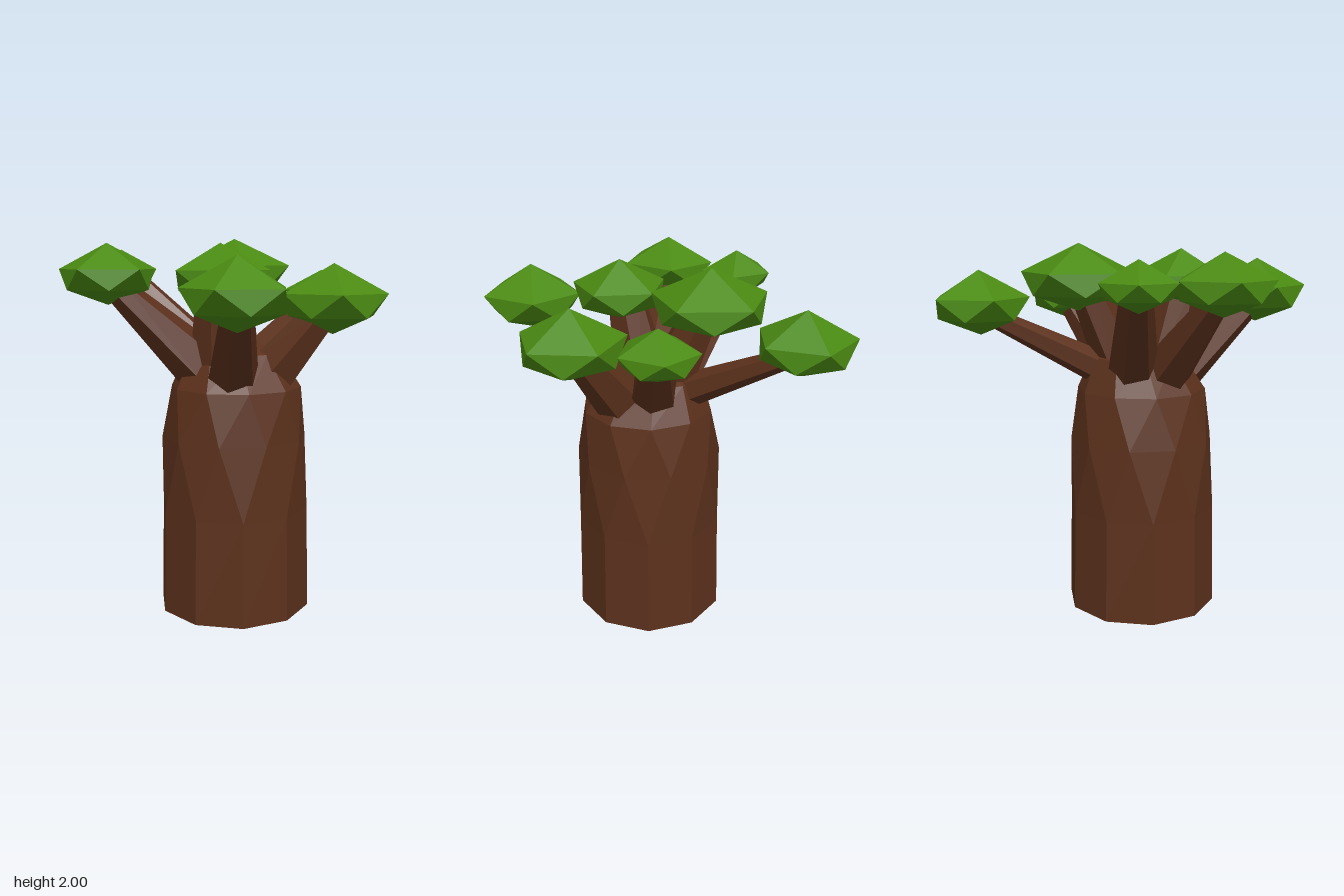
import * as THREE from 'three';

const bark = new THREE.MeshStandardMaterial({ color: 0x5c311c, flatShading: true });
const leaf = new THREE.MeshStandardMaterial({ color: 0x4a8a12, flatShading: true });

// Skins rings [y, radius, degrees, x, z] from the bottom up; radius 0 is a tip
function loft(rings, sides) {
  const points = rings.map(([y, r, deg, x = 0, z = 0]) =>
    Array.from({ length: sides }, (_, i) => {
      const a = THREE.MathUtils.degToRad(deg + (i * 360) / sides);
      return [x + r * Math.cos(a), y, z + r * Math.sin(a)];
    }));
  const pos = [];
  for (let j = 0; j < rings.length - 1; j++) {
    const low = points[j], up = points[j + 1];
    for (let i = 0; i < sides; i++) {
      const n = (i + 1) % sides;
      if (rings[j][1] > 0) pos.push(...low[i], ...up[i], ...low[n]);
      if (rings[j + 1][1] > 0) pos.push(...low[n], ...up[i], ...up[n]);
    }
  }
  const geo = new THREE.BufferGeometry();
  geo.setAttribute('position', new THREE.Float32BufferAttribute(pos, 3));
  geo.computeVertexNormals();
  return geo;
}

// Tapered limb between two points
function limb(from, to, r0, r1) {
  const a = new THREE.Vector3(...from), b = new THREE.Vector3(...to);
  const dir = b.clone().sub(a);
  const mesh = new THREE.Mesh(new THREE.CylinderGeometry(r1, r0, dir.length(), 6), bark);
  mesh.position.copy(a).add(b).multiplyScalar(0.5);
  mesh.quaternion.setFromUnitVectors(new THREE.Vector3(0, 1, 0), dir.normalize());
  return mesh;
}

// Flattened 20-sided clump of leaves, widest above its middle
function clump(x, z, r, deg, bottom, top) {
  const h = top - bottom;
  const geo = loft([
    [0, 0, deg - 36],
    [0.25 * h, 0.84 * r, deg - 36],
    [0.58 * h, r, deg],
    [h, 0, deg],
  ], 5);
  const mesh = new THREE.Mesh(geo, leaf);
  mesh.position.set(x, bottom, z);
  return mesh;
}

export function createModel() {
  const tree = new THREE.Group();
  tree.name = 'tree';
  const add = (mesh, name) => {
    mesh.name = name;
    tree.add(mesh);
  };

  // Thick trunk that twists towards its top
  add(new THREE.Mesh(loft([
    [0, 0, 0, 0.02, 0.065],
    [0, 0.415, 0, 0.02, 0.065],
    [0.56, 0.403, 0, 0.02, 0.065],
    [0.95, 0.39, 18, 0.02, 0.065],
    [1.22, 0.35, 32, 0.03, 0.065],
    [1.40, 0.25, 34, 0.01, 0.04],
    [1.50, 0, 34, 0.01, 0.03],
  ], 10), bark), 'trunk');

  // Each branch: start, end, radii, then its clump: x, z, radius, angle, bottom, top
  const branches = [
    ['back', [0, 1.28, -0.05], [-0.08, 1.66, -0.79], 0.10, 0.045, [-0.09, -0.79, 0.255, 19, 1.54, 1.87]],
    ['centreBack', [0, 1.35, -0.04], [-0.04, 1.8, -0.25], 0.15, 0.09, [-0.046, -0.276, 0.31, -2, 1.65, 2.0]],
    ['leftBack', [0.12, 1.3, -0.04], [0.42, 1.67, -0.29], 0.14, 0.07, [0.444, -0.312, 0.205, 27, 1.57, 1.83]],
    ['left', [0.2, 1.27, 0.08], [0.52, 1.65, 0.12], 0.15, 0.09, [0.55, 0.13, 0.28, 4, 1.51, 1.87]],
    ['centreFront', [-0.05, 1.28, 0.15], [-0.04, 1.78, 0.26], 0.16, 0.1, [-0.01, 0.272, 0.255, -7, 1.65, 1.97]],
    ['front', [0.05, 1.28, 0.25], [0.16, 1.67, 0.7], 0.14, 0.08, [0.168, 0.742, 0.27, 28, 1.56, 1.91]],
    ['rightFront', [-0.11, 1.3, 0.15], [-0.54, 1.75, 0.35], 0.15, 0.07, [-0.576, 0.364, 0.255, 33, 1.66, 1.97]],
    ['rightBack', [-0.1, 1.3, 0], [-0.6, 1.78, -0.06], 0.14, 0.08, [-0.64, -0.055, 0.195, 45, 1.69, 1.94]],
  ];
  for (const [name, from, to, r0, r1, leaves] of branches) {
    add(limb(from, to, r0, r1), name + 'Branch');
    add(clump(...leaves), name + 'Leaves');
  }
  return tree;
}
